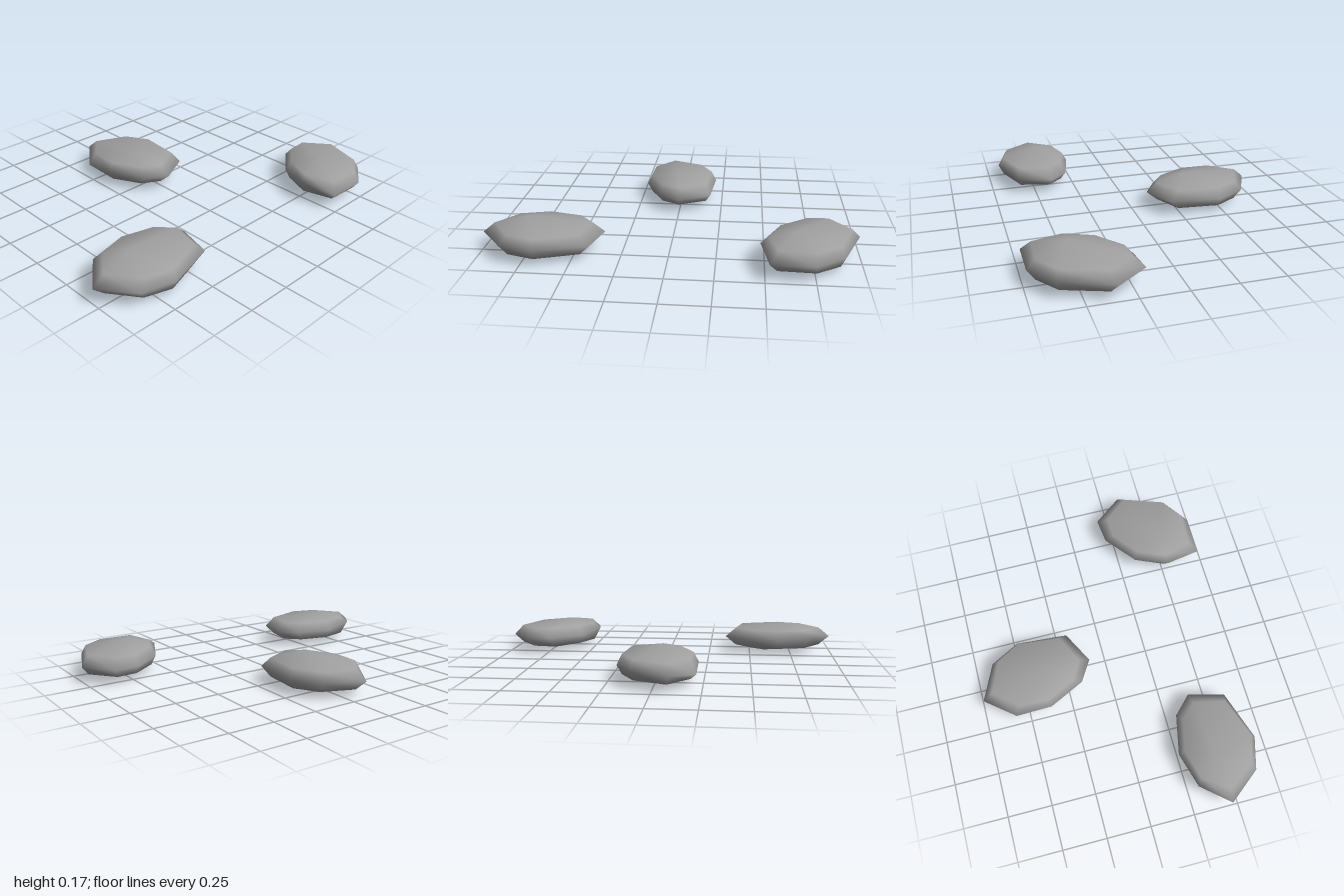
import * as THREE from 'three';

// Widest outline of a pebble: x, z and a slight rise or dip of each corner
const RIM = [
  [-0.325, -0.01, 0], [-0.195, -0.17, 0.025], [0.005, -0.22, 0], [0.225, -0.17, 0],
  [0.325, -0.07, 0], [0.275, 0.13, 0], [-0.005, 0.22, 0.005], [-0.185, 0.17, 0],
];
const HALF = 0.0875;

// Flat pebble: a top point, three rings of corners and a bottom point
function pebbleGeometry() {
  const n = RIM.length;
  const ring = (y, sx, sz) => RIM.flatMap(([x, z, dy]) => [x * sx, y === 0 ? dy : y, z * sz]);
  const points = [
    -0.075, HALF, -0.04,
    ...ring(0.055, 0.8, 0.87),
    ...ring(0, 1, 1),
    ...ring(-0.053, 0.81, 0.87),
    0.085, -HALF, -0.042,
  ];
  const last = 1 + 3 * n;
  const index = [];
  for (let i = 0; i < n; i++) {
    const j = (i + 1) % n;
    index.push(0, 1 + j, 1 + i);
    for (let r = 0; r < 2; r++) {
      const a = 1 + r * n, b = a + n;
      index.push(a + i, a + j, b + i, a + j, b + j, b + i);
    }
    index.push(last, 1 + 2 * n + i, 1 + 2 * n + j);
  }
  const geometry = new THREE.BufferGeometry();
  geometry.setAttribute('position', new THREE.Float32BufferAttribute(points, 3));
  geometry.setIndex(index);
  geometry.computeVertexNormals();
  return geometry;
}

export function createModel() {
  const group = new THREE.Group();
  group.name = 'pebbles';
  const stone = new THREE.MeshStandardMaterial({ color: 0xa0a0a0 });
  stone.name = 'stone grey';
  const geometry = pebbleGeometry();

  // Same pebble three times: turned, and the back one upside down
  const places = [
    ['rightPebble', -0.675, 0.47, 0, 0],
    ['leftPebble', 0.73, 0.48, 0.899, 0],
    ['backPebble', -0.006, -0.426, -1.34, Math.PI],
  ];
  for (const [name, x, z, turn, flip] of places) {
    const pebble = new THREE.Mesh(geometry, stone);
    pebble.name = name;
    pebble.position.set(x, HALF, z);
    pebble.rotation.set(flip, turn, 0, 'YXZ');
    group.add(pebble);
  }
  return group;
}
